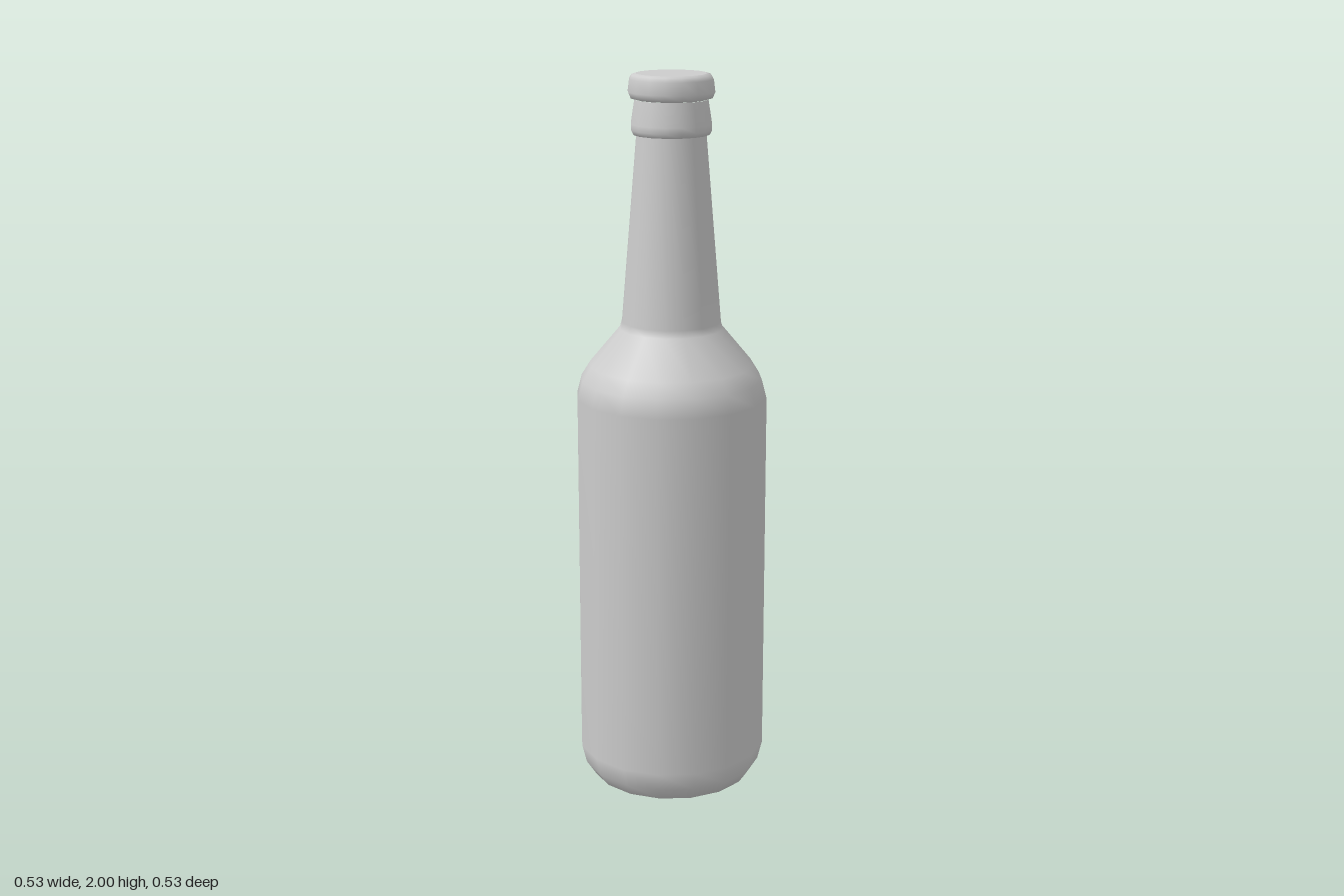
import * as THREE from 'three';

const SIDES = 16;

// Revolves a [radius, height] profile, listed from bottom to top
function turned(name, profile, material) {
  const points = profile.map(([r, y]) => new THREE.Vector2(r, y));
  const mesh = new THREE.Mesh(new THREE.LatheGeometry(points, SIDES), material);
  mesh.name = name;
  return mesh;
}

export function createModel() {
  const bottle = new THREE.Group();
  bottle.name = 'bottle';
  const glass = new THREE.MeshStandardMaterial({ color: 0xcccccc });

  // Flat underside
  bottle.add(turned('base', [[0, 0], [0.185, 0]], glass));

  // Rounded heel, straight wall, shoulder and tapering neck
  bottle.add(turned('body', [
    [0.185, 0], [0.224, 0.015], [0.25, 0.053], [0.263, 0.105],
    [0.263, 1.125], [0.25, 1.175], [0.225, 1.215],
    [0.142, 1.315], [0.136, 1.335], [0.094, 1.845],
  ], glass));

  // Collar below the lip
  bottle.add(turned('collar', [
    [0.09, 1.84], [0.103, 1.84], [0.109, 1.852], [0.109, 1.868], [0.099, 1.932],
  ], glass));

  // Rounded lip around the mouth
  bottle.add(turned('lip', [
    [0.095, 1.932], [0.11, 1.936], [0.117, 1.952], [0.113, 1.985],
    [0.107, 1.996], [0.095, 2],
  ], glass));

  // Closed flat top
  bottle.add(turned('top', [[0.095, 2], [0, 2]], glass));

  return bottle;
}
